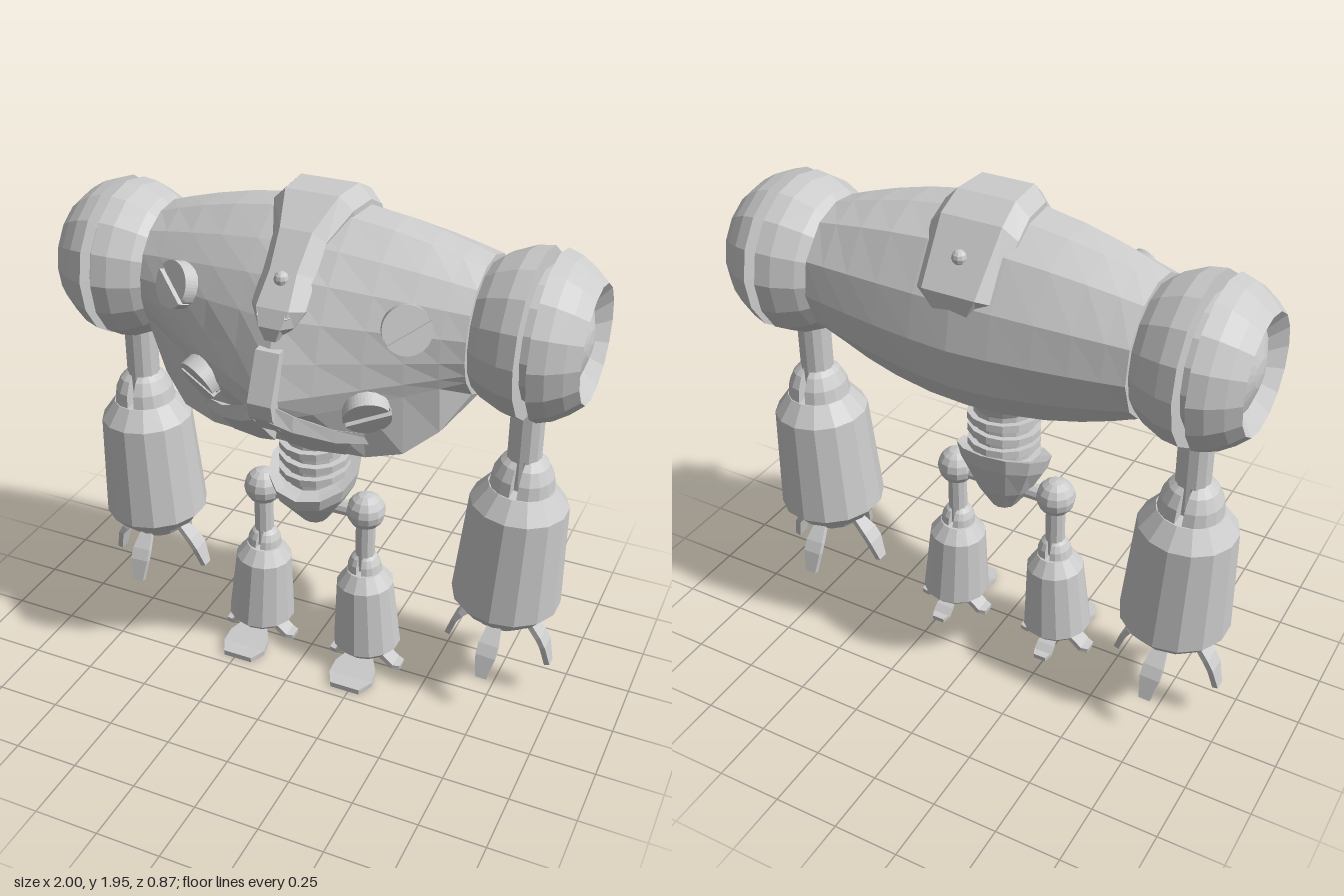
import * as THREE from 'three';

const grey = new THREE.MeshStandardMaterial({ color: 0xcccccc, flatShading: true, side: THREE.DoubleSide });
const V = (x, y, z) => new THREE.Vector3(x, y, z);

function add(parent, name, geo, x = 0, y = 0, z = 0) {
  const g = geo.index ? geo.toNonIndexed() : geo;
  g.computeVertexNormals();
  const m = new THREE.Mesh(g, grey);
  m.name = name;
  m.position.set(x, y, z);
  parent.add(m);
  return m;
}

function group(parent, name, x = 0, y = 0, z = 0) {
  const g = new THREE.Group();
  g.name = name;
  g.position.set(x, y, z);
  parent.add(g);
  return g;
}

const lathe = (pts, sides = 16) => new THREE.LatheGeometry(pts.map(p => new THREE.Vector2(p[0], p[1])), sides);

// Skin a row of equal cross-sections, cap both ends and turn the faces outward
function loft(rings) {
  const tris = [], n = rings[0].length;
  for (let i = 0; i < rings.length - 1; i++) {
    for (let j = 0; j < n; j++) {
      const k = (j + 1) % n, a = rings[i], b = rings[i + 1];
      tris.push([a[j], b[j], b[k]], [a[j], b[k], a[k]]);
    }
  }
  for (const end of [0, rings.length - 1]) {
    const r = rings[end], c = V(0, 0, 0);
    r.forEach(p => c.addScaledVector(p, 1 / n));
    for (let j = 0; j < n; j++) {
      const k = (j + 1) % n;
      tris.push(end ? [c, r[k], r[j]] : [c, r[j], r[k]]);
    }
  }
  const o = rings[0][0];
  let vol = 0;
  for (const [a, b, c] of tris) {
    vol += a.clone().sub(o).dot(b.clone().sub(o).cross(c.clone().sub(o)));
  }
  if (vol < 0) tris.forEach(t => t.reverse());
  return new THREE.BufferGeometry().setFromPoints(tris.flat());
}

// Bent plate running outward along +z; path points are [reach, height, half width]
function plate(path, t) {
  return loft(path.map(([r, y, w], i) => {
    const a = path[Math.max(0, i - 1)], b = path[Math.min(path.length - 1, i + 1)];
    const d = Math.hypot(b[0] - a[0], b[1] - a[1]);
    const ny = -(b[0] - a[0]) / d * t, nz = (b[1] - a[1]) / d * t;
    return [V(-w, y, r), V(w, y, r), V(w, y + ny, r + nz), V(-w, y + ny, r + nz)];
  }));
}

// Dome split into two cheeks by a slot
function splitDome(parent, name, r, h, gap, y) {
  for (const s of [-1, 1]) {
    const pts = [0, 1, 2, 3, 4].map(i => i * Math.PI / 8);
    const rings = pts.map(a => {
      const ring = [];
      for (let k = 0; k <= 8; k++) {
        const b = k * Math.PI / 8, q = Math.max(Math.cos(a), 0.02) * r;
        ring.push(V(s * (gap + q * Math.sin(b) * 0.9), y + h * Math.sin(a), q * Math.cos(b)));
      }
      return ring;
    });
    add(parent, name, loft(rings));
  }
}

const CY = 1.53, CZ = -0.11;

function buildTorso(root) {
  const torso = group(root, 'torso');
  // Middle profile: z, y and how late that line bends toward the round ends
  const mid = [
    [-0.15, 1.89, 1.8], [0, 1.89, 1.8], [0.12, 1.81, 1.5], [0.22, 1.72, 1.2], [0.3, 1.6, 1.1],
    [0.36, 1.46, 1], [0.4, 1.33, 1], [0.38, 1.25, 1.1], [0.21, 1.08, 5], [0, 1.08, 5],
    [-0.12, 1.13, 3], [-0.3, 1.21, 2], [-0.39, 1.33, 1.6], [-0.435, 1.5, 1.5], [-0.4, 1.66, 1.5], [-0.29, 1.82, 1.7],
  ];
  const xs = [-0.62, -0.54, -0.43, -0.3, -0.15, 0, 0.15, 0.3, 0.43, 0.54, 0.62];
  add(torso, 'barrelBody', loft(xs.map(x => mid.map(([z, y, p]) => {
    const t = Math.pow(Math.abs(x) / 0.62, p), d = Math.hypot(z - CZ, y - CY);
    const ez = CZ + 0.25 * (z - CZ) / d, ey = CY + 0.25 * (y - CY) / d;
    return V(x, y + (ey - y) * t, z + (ez - z) * t);
  }))));

  // Centre strip on the face
  const strip = [[0.28, 1.51], [0.36, 1.51], [0.433, 1.34], [0.42, 1.28], [0.36, 1.21], [0.28, 1.2]];
  add(torso, 'noseStrip', loft([-0.045, 0.045].map(x => strip.map(([z, y]) => V(x, y, z)))));

  // Swept jaw plates
  const jaw = [
    [0.03, 0.4, 1.33, 0.415, 1.27, 0.25, 1.1, 0.2, 1.2],
    [0.1, 0.375, 1.29, 0.38, 1.23, 0.23, 1.08, 0.16, 1.16],
    [0.22, 0.29, 1.22, 0.29, 1.17, 0.2, 1.075, 0.1, 1.13],
    [0.4, 0.16, 1.17, 0.15, 1.13, 0.08, 1.09, 0, 1.13],
    [0.52, 0.04, 1.22, 0.03, 1.17, -0.02, 1.15, -0.06, 1.2],
  ];
  for (const s of [-1, 1]) {
    add(torso, 'jawPlate', loft(jaw.map(([x, ...q]) => [0, 2, 4, 6].map(i => V(s * x, q[i + 1], q[i])))));
  }

  // Crest over the top: z, y, inner and outer half width
  const crest = [
    [-0.4, 1.6, 0.05, 0.08], [-0.41, 1.7, 0.1, 0.15], [-0.25, 1.9, 0.115, 0.165], [-0.15, 1.95, 0.11, 0.16],
    [0, 1.95, 0.1, 0.15], [0.13, 1.86, 0.06, 0.1], [0.23, 1.75, 0.05, 0.1], [0.32, 1.65, 0.06, 0.1],
    [0.345, 1.59, 0.04, 0.07], [0.34, 1.54, 0.02, 0.03],
  ];
  add(torso, 'crest', loft(crest.map(([z, y, wi, wo]) => {
    const d = Math.hypot(z - CZ, y - CY);
    const at = (x, drop) => V(x, y - (y - CY) / d * drop, z - (z - CZ) / d * drop);
    return [at(-wo, 0.14), at(-wo, 0.05), at(-wi, 0), at(wi, 0), at(wo, 0.05), at(wo, 0.14)];
  })));
  for (const [y, z] of [[1.73, 0.245], [1.8, -0.33]]) {
    add(torso, 'crestBolt', new THREE.SphereGeometry(0.027, 10, 6), 0, y, z);
  }
  for (const s of [-1, 1]) {
    const eye = add(torso, 'crestEye', new THREE.OctahedronGeometry(0.022), s * 0.05, 1.625, 0.315);
    eye.scale.x = 0.6;
    addScrew(torso, V(s * 0.43, 1.605, 0.19), V(s * 0.45, 0.35, 0.95), s * 0.6);
    addScrew(torso, V(s * 0.315, 1.295, 0.24), V(s * 0.45, -0.5, 0.9), s * 0.3);
  }
}

// Slotted screw head facing the given direction
function addScrew(parent, pos, dir, roll) {
  const screw = group(parent, 'screw', pos.x, pos.y, pos.z);
  screw.quaternion.setFromUnitVectors(V(0, 0, 1), dir.normalize());
  const spin = group(screw, 'screwHead');
  spin.rotation.z = roll;
  add(spin, 'screwBase', new THREE.CylinderGeometry(0.083, 0.083, 0.06, 16).rotateX(Math.PI / 2), 0, 0, -0.015);
  const half = new THREE.Shape().absarc(0, 0, 0.085, 0.14, Math.PI - 0.14, false);
  for (const a of [0, Math.PI]) {
    add(spin, 'screwHalf', new THREE.ExtrudeGeometry(half, { depth: 0.05, bevelEnabled: false, curveSegments: 10 }).rotateZ(a), 0, 0, -0.015);
  }
}

function buildArm(root, s) {
  const arm = group(root, s > 0 ? 'leftArm' : 'rightArm', 0, 0, CZ);
  // Grooved shoulder with a recessed domed end
  const shoulder = add(arm, 'shoulder', lathe([
    [0, 0.6], [0.215, 0.6], [0.26, 0.66], [0.295, 0.74], [0.303, 0.8], [0.24, 0.803], [0.24, 0.842], [0.303, 0.845],
    [0.285, 0.9], [0.25, 0.955], [0.21, 1], [0.145, 0.95], [0.1, 0.965], [0.05, 0.98], [0, 0.985],
  ]), 0, CY, 0);
  shoulder.rotation.z = -s * Math.PI / 2;
  add(arm, 'upperArm', new THREE.CylinderGeometry(0.064, 0.064, 0.4, 12), s * 0.787, 1.15, 0);

  // Forearm hangs slightly inward
  const fore = group(arm, 'forearm', s * 0.787, 0.92, 0);
  fore.rotation.z = -s * 0.05;
  splitDome(fore, 'elbowCheek', 0.118, 0.145, 0.014, 0);
  add(fore, 'elbowTongue', new THREE.BoxGeometry(0.03, 0.14, 0.12), 0, 0.06, 0);
  add(fore, 'forearmShell', lathe([
    [0, -0.64], [0.06, -0.628], [0.11, -0.595], [0.14, -0.55], [0.165, -0.545], [0.208, -0.495],
    [0.183, -0.07], [0.125, 0.005], [0, 0.005],
  ], 14));
  for (let i = 0; i < 4; i++) {
    const claw = add(fore, 'claw', plate([[0.11, -0.575, 0.025], [0.165, -0.63, 0.038], [0.19, -0.67, 0.038], [0.215, -0.755, 0.022]], 0.022));
    claw.rotation.y = i * Math.PI / 2;
  }
}

function buildWaist(root) {
  const waist = group(root, 'waist', 0, 0, -0.03);
  add(waist, 'neckCollar', new THREE.CylinderGeometry(0.14, 0.1, 0.09, 14), 0, 1.08, 0);
  add(waist, 'waistCore', new THREE.CylinderGeometry(0.115, 0.115, 0.32, 14), 0, 0.93, 0);
  for (let i = 0; i < 4; i++) {
    const ring = add(waist, 'waistRing', new THREE.CylinderGeometry(0.14, 0.14, 0.028, 14), 0, 1.025 - i * 0.057, 0);
    ring.rotation.set(0.08, 0, i % 2 ? 0.03 : -0.03);
  }
  // Pelvis bowl, its rim dipping toward the front
  const bowl = lathe([[0, 0.615], [0.05, 0.615], [0.11, 0.7], [0.165, 0.8], [0.18, 0.86], [0.14, 0.85], [0, 0.83]], 12);
  const p = bowl.attributes.position;
  for (let i = 0; i < p.count; i++) {
    const k = Math.min(1, (p.getY(i) - 0.615) / 0.2);
    p.setY(i, p.getY(i) - p.getZ(i) * 0.42 * k);
  }
  add(waist, 'pelvis', bowl);
  const axle = add(waist, 'hipAxle', new THREE.CylinderGeometry(0.032, 0.032, 0.43, 10), 0, 0.695, 0.01);
  axle.rotation.z = Math.PI / 2;
}

function buildLeg(root, s) {
  const leg = group(root, s > 0 ? 'leftLeg' : 'rightLeg', s * 0.217, 0, -0.02);
  add(leg, 'hipBall', new THREE.SphereGeometry(0.076, 12, 8), 0, 0.705, 0);
  add(leg, 'thigh', new THREE.CylinderGeometry(0.038, 0.038, 0.2, 10), 0, 0.57, 0);
  const shin = group(leg, 'shin', 0, 0.44, 0);
  shin.rotation.z = s * 0.05;
  splitDome(shin, 'kneeCheek', 0.064, 0.08, 0.01, 0);
  add(shin, 'kneeTongue', new THREE.BoxGeometry(0.02, 0.07, 0.07), 0, 0.035, 0);
  add(shin, 'shinShell', lathe([
    [0, -0.415], [0.05, -0.405], [0.08, -0.375], [0.105, -0.37], [0.134, -0.34], [0.112, -0.06], [0.07, -0.005], [0, -0.005],
  ], 14));

  // Broad front toe and three small ones
  const foot = group(leg, 'foot', s * 0.018, 0, 0);
  add(foot, 'frontToe', plate([[0.05, 0.075, 0.04], [0.12, 0.045, 0.085], [0.17, 0.025, 0.09], [0.23, 0.023, 0.06]], 0.022));
  for (const a of [1, 2, 3]) {
    const toe = add(foot, 'smallToe', plate([[0.05, 0.07, 0.025], [0.1, 0.045, 0.035], [0.125, 0.023, 0.035], [0.152, 0.02, 0.025]], 0.02));
    toe.rotation.y = a * Math.PI / 2;
  }
}

export function createModel() {
  const root = new THREE.Group();
  root.name = 'robot';
  buildTorso(root);
  buildWaist(root);
  for (const s of [-1, 1]) {
    buildArm(root, s);
    buildLeg(root, s);
  }
  return root;
}
